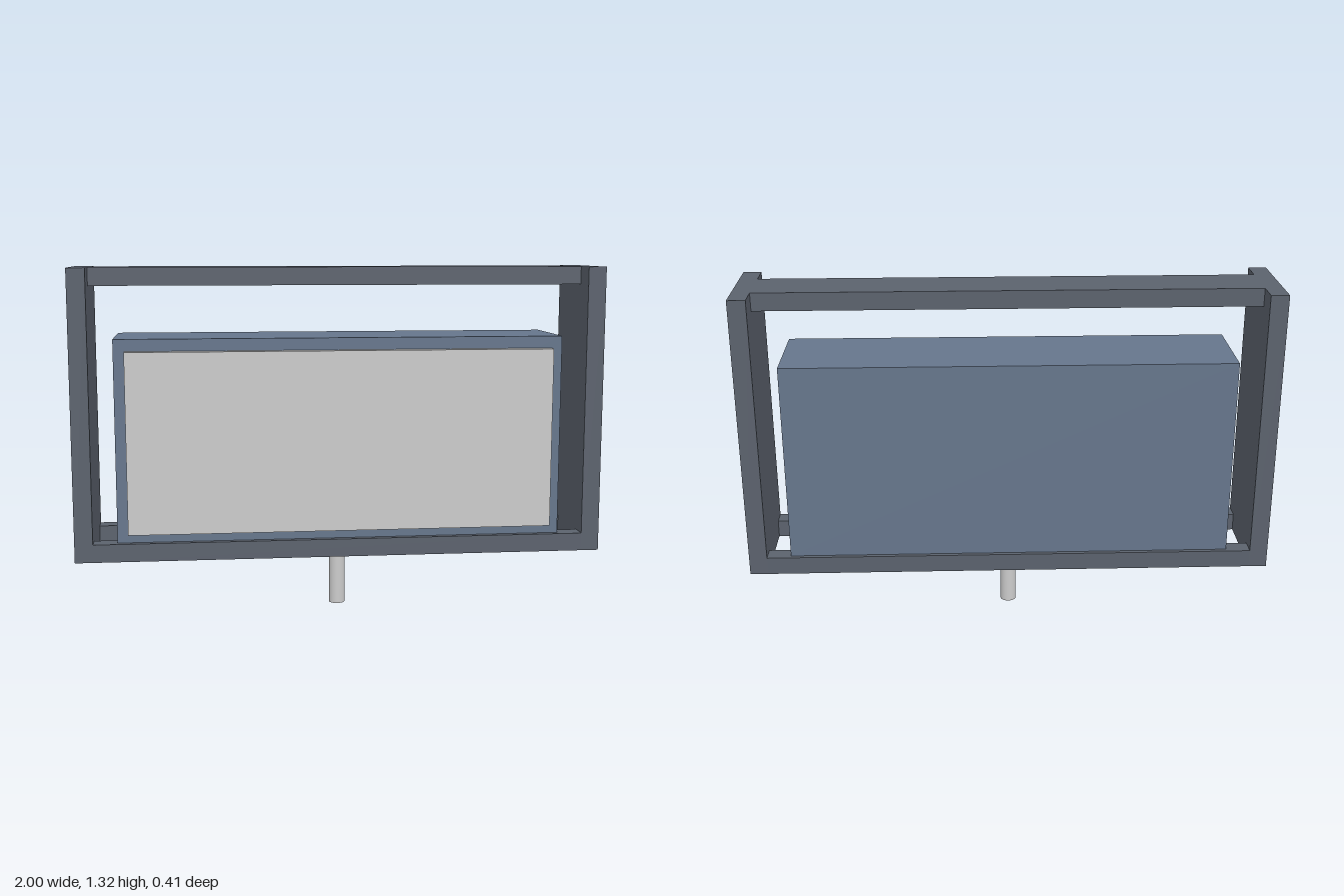
import * as THREE from 'three';

export function createModel() {
  const model = new THREE.Group();
  const frameMat = new THREE.MeshStandardMaterial({ color: 0x5b626d });
  const bodyMat = new THREE.MeshStandardMaterial({ color: 0x66768c });
  const greyMat = new THREE.MeshStandardMaterial({ color: 0xcccccc });

  // Box given by its extents along each axis
  function box(name, mat, [x0, x1], [y0, y1], [z0, z1]) {
    const mesh = new THREE.Mesh(new THREE.BoxGeometry(x1 - x0, y1 - y0, z1 - z0), mat);
    mesh.position.set((x0 + x1) / 2, (y0 + y1) / 2, (z0 + z1) / 2);
    mesh.name = name;
    model.add(mesh);
  }

  // Open frame: side plates, narrow top bar, two bottom rails
  const inner = [-0.932, 0.932];
  box('leftSidePlate', frameMat, [0.932, 1], [0.23, 1.32], [-0.204, 0.185]);
  box('rightSidePlate', frameMat, [-1, -0.932], [0.23, 1.32], [-0.204, 0.185]);
  box('topBar', frameMat, inner, [1.252, 1.32], [-0.108, 0.085]);
  box('frontRail', frameMat, inner, [0.23, 0.298], [0.117, 0.185]);
  box('backRail', frameMat, inner, [0.23, 0.298], [-0.204, -0.138]);

  // Cabinet resting on the rails, with its front panel
  box('cabinet', bodyMat, [-0.842, 0.842], [0.298, 1.06], [-0.188, 0.162]);
  box('frontPanel', greyMat, [-0.8, 0.8], [0.335, 1.015], [0.162, 0.204]);

  // Post below the frame
  const post = new THREE.Mesh(new THREE.CylinderGeometry(0.031, 0.031, 0.232, 32), greyMat);
  post.position.set(0, 0.116, -0.008);
  post.name = 'post';
  model.add(post);

  return model;
}
